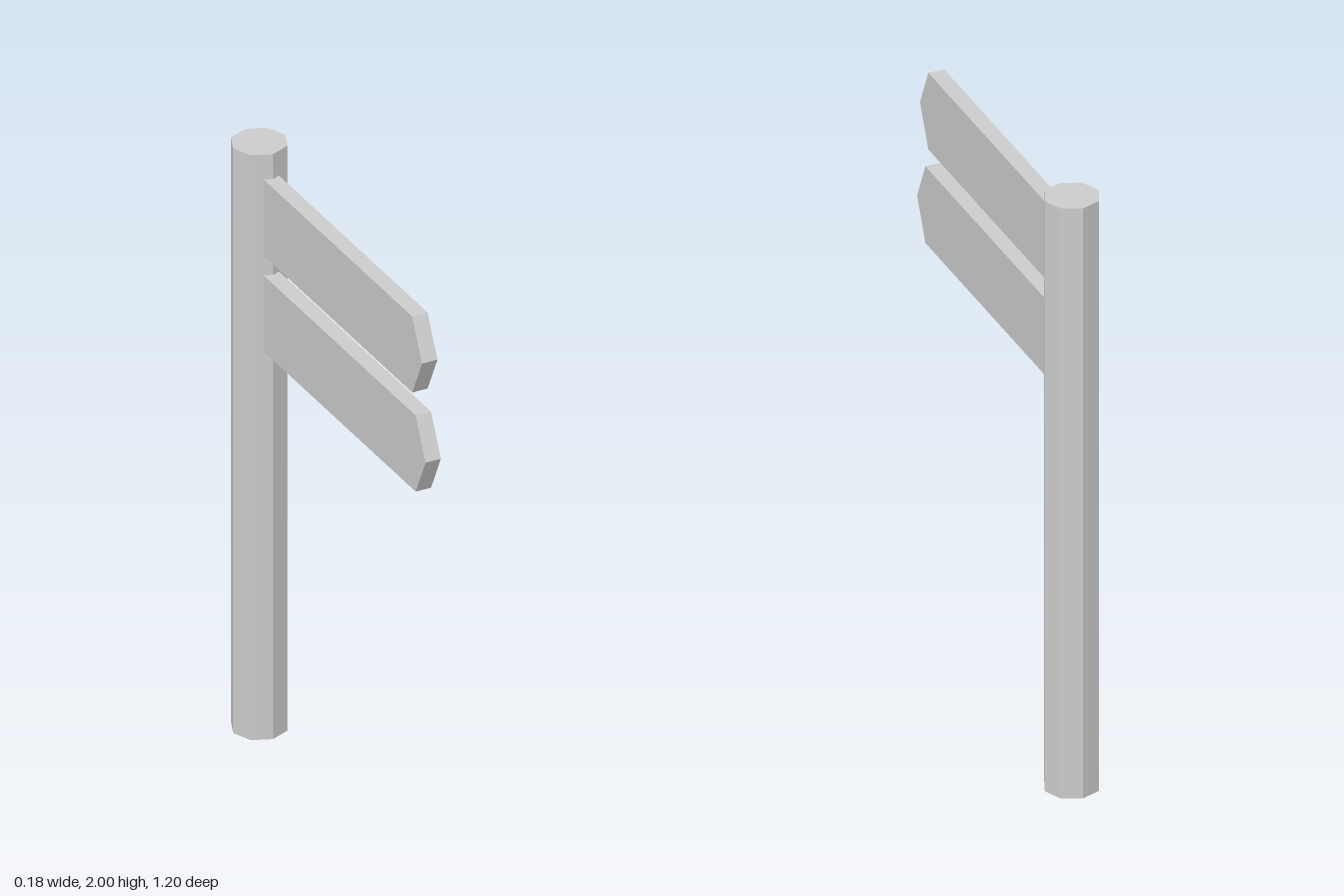
import * as THREE from 'three';

const POST_RADIUS = 0.088;
const POST_Z = -0.512;
const BOARD_THICKNESS = 0.052;
const BOARD_BACK = -0.45; // slightly inside the post

export function createModel() {
  const model = new THREE.Group();
  model.name = 'signpost';
  const material = new THREE.MeshStandardMaterial({ color: 0xcccccc, flatShading: true });

  // Octagonal post
  const post = new THREE.Mesh(new THREE.CylinderGeometry(POST_RADIUS, POST_RADIUS, 2, 8), material);
  post.name = 'post';
  post.position.set(0, 1, POST_Z);
  model.add(post);

  // Pointed direction board: outline drawn along z, extruded across x
  function addBoard(name, bottom, top, shoulder, tip) {
    const outline = new THREE.Shape([
      new THREE.Vector2(BOARD_BACK, bottom),
      new THREE.Vector2(shoulder, bottom),
      new THREE.Vector2(tip, (bottom + top) / 2),
      new THREE.Vector2(shoulder, top),
      new THREE.Vector2(BOARD_BACK, top),
    ]);
    const geometry = new THREE.ExtrudeGeometry(outline, { depth: BOARD_THICKNESS, bevelEnabled: false });
    geometry.translate(0, 0, -BOARD_THICKNESS / 2);
    geometry.rotateY(-Math.PI / 2);
    const board = new THREE.Mesh(geometry, material);
    board.name = name;
    model.add(board);
  }
  addBoard('upperBoard', 1.655, 1.915, 0.515, 0.578);
  addBoard('lowerBoard', 1.327, 1.587, 0.537, 0.6);

  return model;
}
